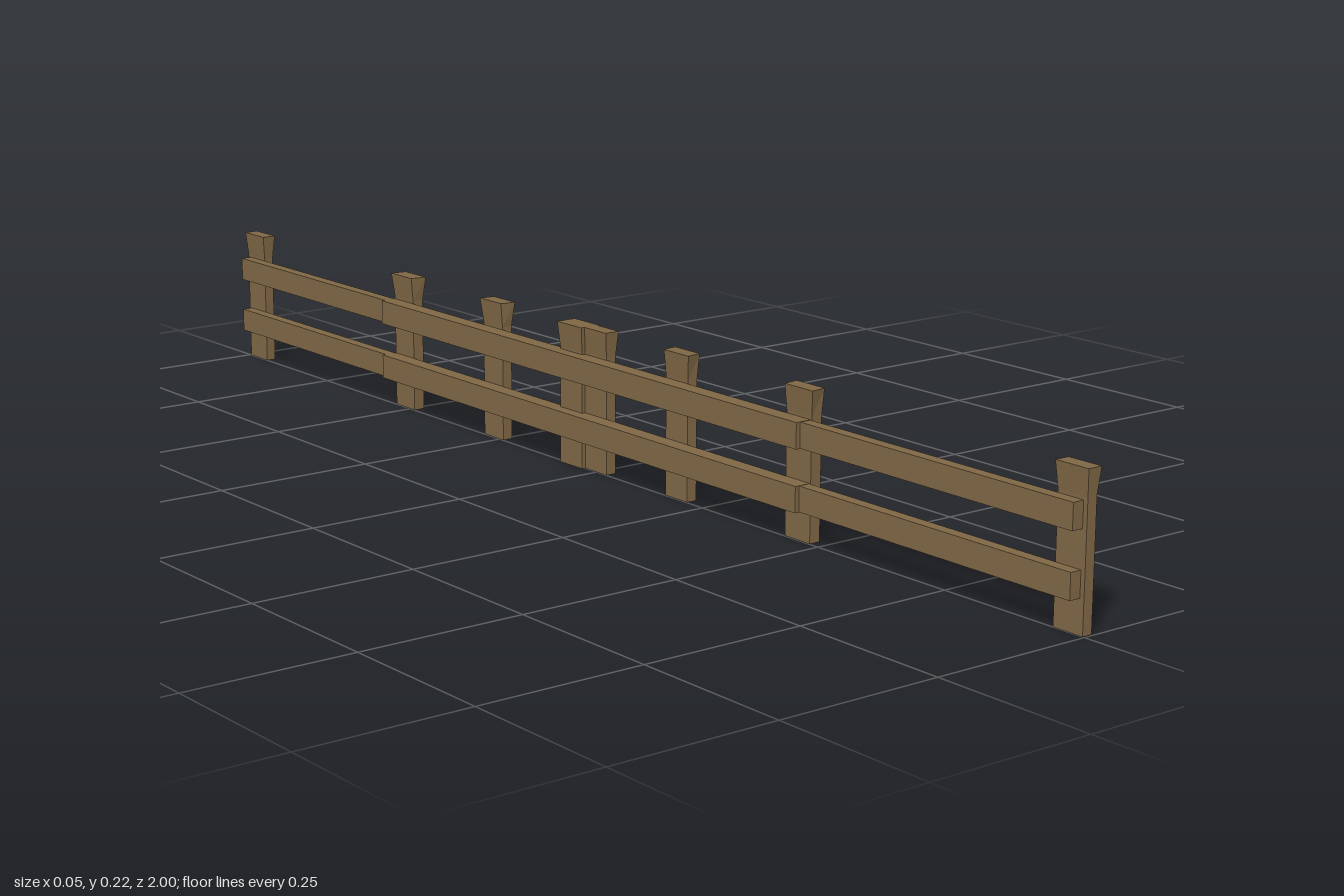
import * as THREE from 'three';

const wood = new THREE.MeshStandardMaterial({ color: 0x7f6745 });
wood.name = 'weathered wood';

const HEIGHT = 0.218, NECK = 0.18;

// Box spanning the given x, y and z ranges
function block(name, x0, x1, y0, y1, z0, z1, ySegments = 1) {
  const geo = new THREE.BoxGeometry(x1 - x0, y1 - y0, z1 - z0, 1, ySegments, 1);
  const mesh = new THREE.Mesh(geo, wood);
  mesh.name = name;
  mesh.position.set((x0 + x1) / 2, (y0 + y1) / 2, (z0 + z1) / 2);
  return mesh;
}

// Upright post: straight up to the neck, then flared to a wider top
function post(name, x0, x1, z0, z1, skew) {
  const mesh = block(name, x0, x1, 0, HEIGHT, z0, z1, 2);
  const p = mesh.geometry.attributes.position;
  for (let i = 0; i < p.count; i++) {
    const y = p.getY(i) + HEIGHT / 2;
    if (y > HEIGHT - 0.001) {
      const sx = Math.sign(p.getX(i)), sz = Math.sign(p.getZ(i));
      p.setX(i, p.getX(i) + sx * 0.0035);
      p.setZ(i, p.getZ(i) + sz * 0.003 + sx * skew);
    } else if (y > 0.001) {
      p.setY(i, NECK - HEIGHT / 2);
    }
  }
  mesh.geometry = mesh.geometry.toNonIndexed();
  mesh.geometry.computeVertexNormals();
  return mesh;
}

export function createModel() {
  const fence = new THREE.Group();
  fence.name = 'fence';

  // Posts: back x, front x, low z, high z, lean of the top
  const posts = [
    [0, 0.016, 0.946, 0.997, 0],
    [0.001, 0.019, 0.43, 0.482, -0.002],
    [0.001, 0.018, 0.164, 0.214, -0.002],
    [0.0, 0.017, -0.028, 0.024, 0],
    [-0.006, 0.02, -0.082, -0.028, 0],
    [0.001, 0.018, -0.291, -0.241, 0.002],
    [0.001, 0.0195, -0.54, -0.488, 0.002],
    [0, 0.016, -0.997, -0.944, 0],
  ];
  posts.forEach((d, i) => fence.add(post('post' + (i + 1), ...d)));

  // Two heights of rail, each with a thicker middle length and two thin ends
  for (const [level, y0, y1] of [['lower', 0.048, 0.086], ['upper', 0.138, 0.176]]) {
    fence.add(
      block(level + 'MiddleRail', -0.025, 0.001, y0, y1, -0.54, 0.48),
      block(level + 'FrontRail', -0.018, 0.0005, y0 + 0.0005, y1 - 0.0005, 0.45, 0.99),
      block(level + 'BackRail', -0.018, 0.0005, y0 + 0.0005, y1 - 0.0005, -0.99, -0.51),
    );
  }
  return fence;
}
